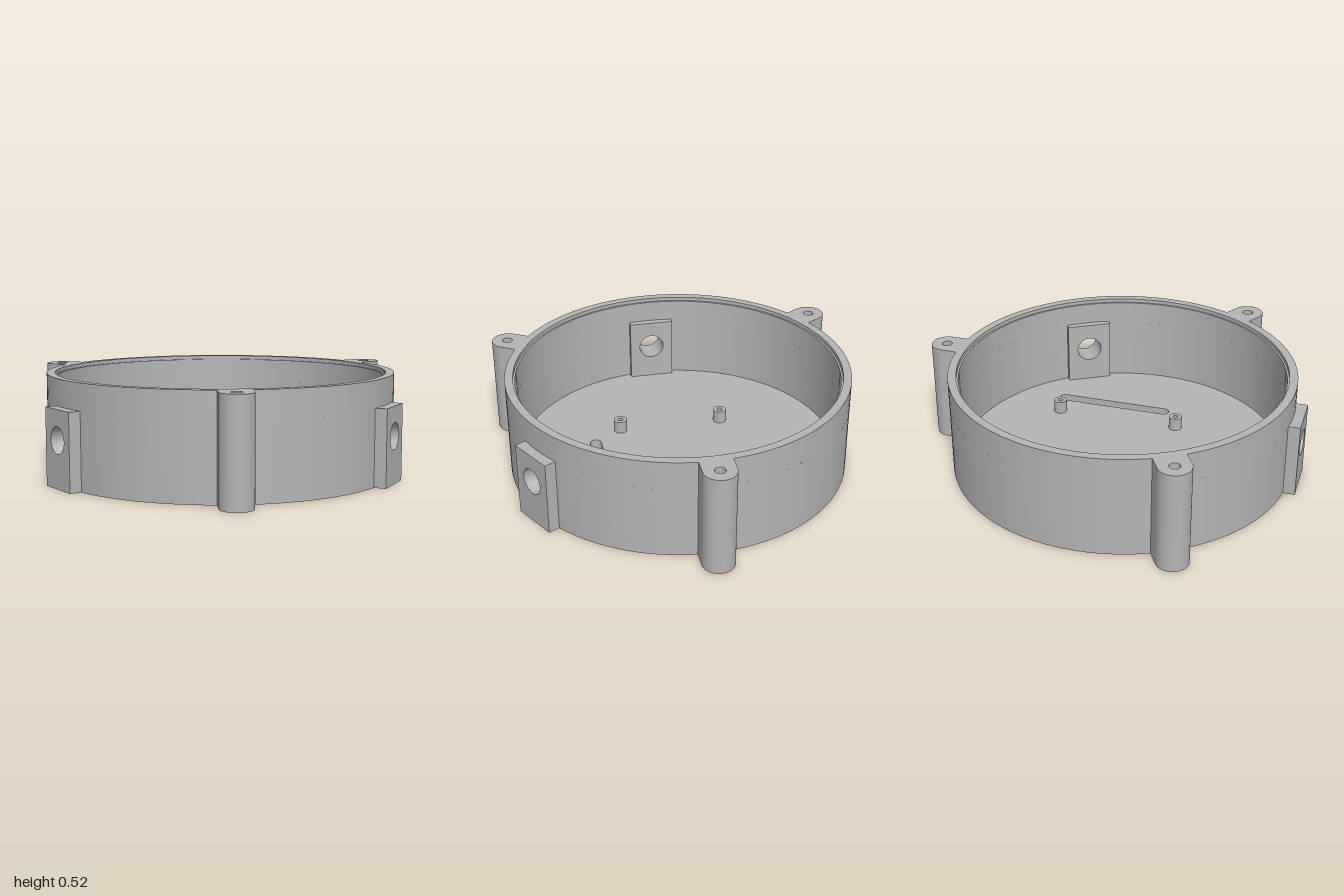
import * as THREE from 'three';
import { toCreasedNormals } from 'three/addons/utils/BufferGeometryUtils.js';

const H = 0.525, FLOOR = 0.05;          // overall height, floor thickness
const R = 0.893, RI = 0.84, RL = 0.85;  // outer wall, inner wall, lip recess
const BLOCK_H = 0.39, BLOCK_W = 0.245;
const PORTS = [-Math.PI / 2, Math.PI / 6]; // turn about y, measured from +z
const TABS = [Math.PI / 2, -Math.PI / 6, Math.PI * 7 / 6];

export function createModel() {
  const model = new THREE.Group();
  model.name = 'roundEnclosure';
  const housing = new THREE.Group();
  housing.name = 'housing';
  housing.position.x = -0.055;
  model.add(housing);

  const grey = new THREE.MeshStandardMaterial({ color: 0xb4b4b4 });
  grey.name = 'plastic grey';

  const add = (name, geometry, turn = 0) => {
    const mesh = new THREE.Mesh(toCreasedNormals(geometry, 0.5), grey);
    mesh.name = name;
    mesh.rotation.y = turn;
    housing.add(mesh);
    return mesh;
  };
  const circle = (x, y, r) => new THREE.Path().absarc(x, y, r, 0, Math.PI * 2, true);
  const extrude = (shape, depth, curveSegments) =>
    new THREE.ExtrudeGeometry(shape, { depth, curveSegments, bevelEnabled: false });
  // Lay a shape flat: its y becomes z, its thickness runs from y0 to y1
  const slab = (shape, y0, y1, segments) =>
    extrude(shape, y1 - y0, segments).rotateX(Math.PI / 2).translate(0, y1, 0);
  const ring = (profile, segments, start, length) =>
    new THREE.LatheGeometry(profile.map(p => new THREE.Vector2(...p)), segments, start, length);

  // Floor with a rounded cable slot
  const floor = new THREE.Shape().absarc(0, 0, 0.86, 0, Math.PI * 2, false);
  const slot = new THREE.Path();
  slot.absarc(-0.115, 0.43, 0.03, Math.PI / 2, Math.PI * 1.5, false);
  slot.absarc(0.465, 0.43, 0.03, -Math.PI / 2, Math.PI / 2, false);
  slot.closePath();
  floor.holes.push(slot);
  add('floor', slab(floor, 0, FLOOR, 64));

  // Upper wall with a stepped lip for the lid
  const seam = BLOCK_H - 0.01;
  add('upperWall', ring([[R, seam], [R, H], [RL, H], [RL, H - 0.02],
    [RI, H - 0.02], [RI, seam]], 128));

  // Lower wall, left open behind the two port blocks
  const gap = 0.115;
  const lower = [[R, 0], [R, seam], [RI, seam], [RI, 0], [R, 0]];
  PORTS.forEach((start, i) => {
    const end = i === 0 ? PORTS[1] : PORTS[0] + Math.PI * 2;
    const length = end - start - 2 * gap;
    add('lowerWall', ring(lower, Math.round(length * 20), start + gap, length));
  });

  // Port blocks crossing the wall, each with a round opening
  const block = new THREE.Shape();
  block.moveTo(-BLOCK_W / 2, 0).lineTo(BLOCK_W / 2, 0)
    .lineTo(BLOCK_W / 2, BLOCK_H).lineTo(-BLOCK_W / 2, BLOCK_H).closePath();
  block.holes.push(circle(0, 0.24, 0.068));
  for (const turn of PORTS)
    add('portBlock', extrude(block, 0.145, 32).translate(0, 0, 0.8), turn);

  // Full-height screw tabs with rounded ends
  const tab = new THREE.Shape();
  tab.moveTo(-0.082, 0.868).lineTo(0.082, 0.868);
  tab.absarc(0, 0.973, 0.082, 0, Math.PI, false);
  tab.closePath();
  tab.holes.push(circle(0, 0.973, 0.027));
  for (const turn of TABS) add('screwTab', slab(tab, 0, H, 24), turn);

  // Hollow standoffs for the circuit board
  for (const x of [-0.22, 0.44])
    for (const z of [-0.278, 0.278]) {
      const post = new THREE.Shape().absarc(x, z, 0.035, 0, Math.PI * 2, false);
      post.holes.push(circle(x, z, 0.014));
      add('standoff', slab(post, FLOOR, FLOOR + 0.068, 24));
    }

  return model;
}
